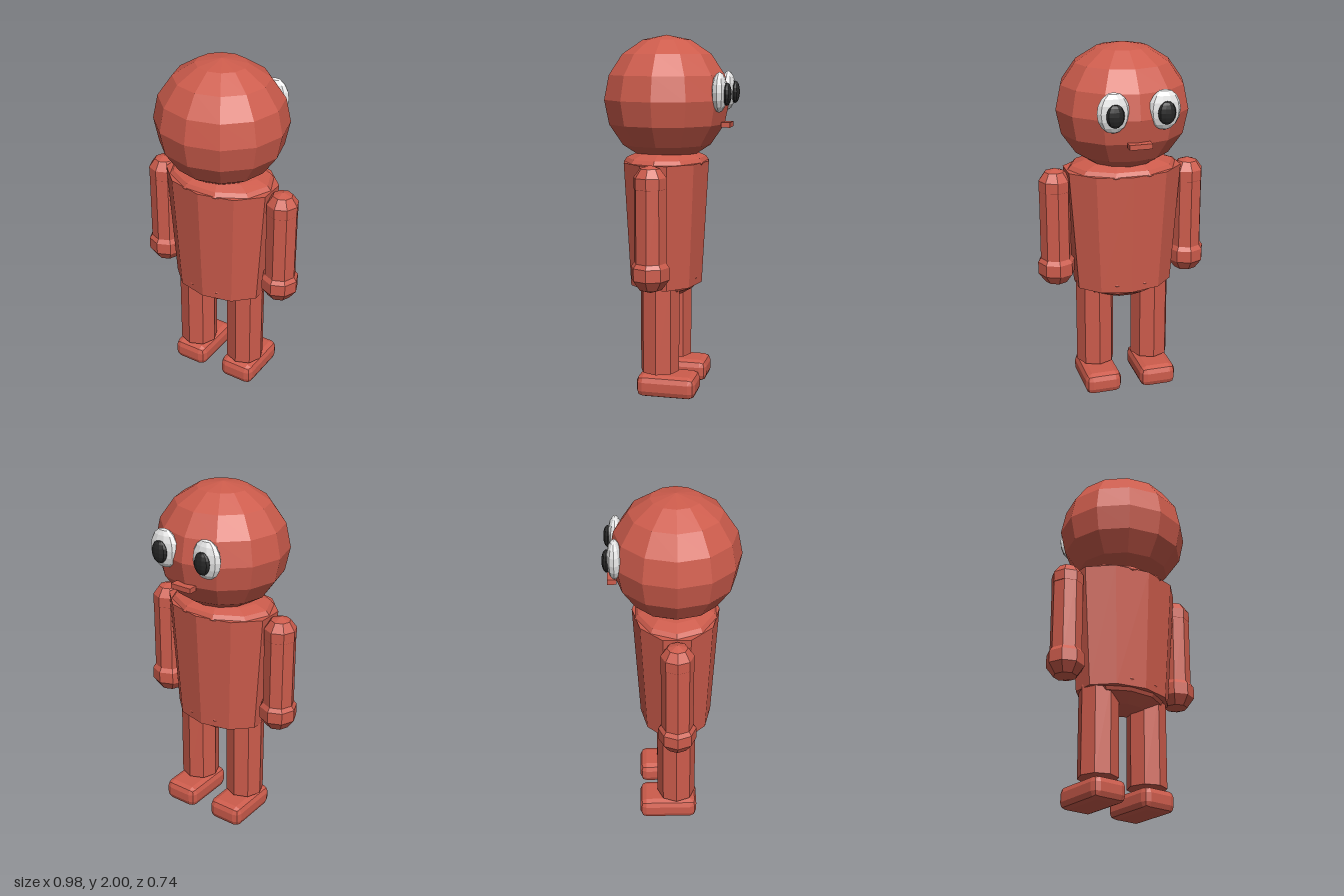
import * as THREE from 'three';
import { RoundedBoxGeometry } from 'three/addons/geometries/RoundedBoxGeometry.js';

const material = (name, color) =>
  Object.assign(new THREE.MeshStandardMaterial({ color, flatShading: true }), { name });

export function createModel() {
  const skin = material('coral skin', 0xcd5c4c);
  const white = material('eye white', 0xe8e8e8);
  const black = material('pupil black', 0x262626);

  const model = new THREE.Group();
  model.name = 'figure';
  const Z = 0.015; // body axis

  function add(name, geometry, mat, x, y, z) {
    const mesh = new THREE.Mesh(geometry, mat);
    mesh.name = name;
    mesh.position.set(x, y, z);
    model.add(mesh);
    return mesh;
  }
  const ball = (rx, ry, rz, sides, rings) =>
    new THREE.SphereGeometry(1, sides, rings).scale(rx, ry, rz);

  // Head and mouth; the face looks towards -z
  add('head', ball(0.37, 0.35, 0.354, 12, 8), skin, 0, 1.65, Z);
  add('mouth', new THREE.BoxGeometry(0.125, 0.028, 0.05), skin, 0, 1.515, -0.327);

  // Tapered oval torso with rounded shoulders and hips
  add('torso', new THREE.CylinderGeometry(0.336, 0.284, 0.69, 10).scale(1, 1, 0.717),
    skin, 0, 0.965, Z);
  add('shoulders', ball(0.315, 0.07, 0.235, 10, 8), skin, 0, 1.305, Z);
  add('hips', ball(0.27, 0.12, 0.2, 10, 6), skin, 0, 0.66, Z);

  for (const [side, s] of [['left', 1], ['right', -1]]) {
    // Eye and pupil
    add(side + 'Eye', ball(0.088, 0.108, 0.041, 10, 8), white, s * 0.138, 1.695, -0.306);
    add(side + 'Pupil', ball(0.049, 0.062, 0.025, 10, 8), black, s * 0.138, 1.686, -0.347);

    // Arm with ball shoulder and hand
    add(side + 'Arm', new THREE.CylinderGeometry(0.088, 0.088, 0.48, 8), skin, s * 0.385, 0.99, Z);
    add(side + 'ShoulderBall', ball(0.094, 0.095, 0.094, 8, 5), skin, s * 0.385, 1.23, Z);
    add(side + 'Hand', ball(0.11, 0.11, 0.11, 8, 5), skin, s * 0.385, 0.747, Z);

    // Leg, with a chamfered foot floating just below it
    add(side + 'Leg', new THREE.CylinderGeometry(0.11, 0.11, 0.5, 8), skin, s * 0.164, 0.39, Z);
    add(side + 'Foot', new RoundedBoxGeometry(0.21, 0.125, 0.335, 1, 0.038),
      skin, s * 0.163, 0.0625, -0.033);
  }
  return model;
}
